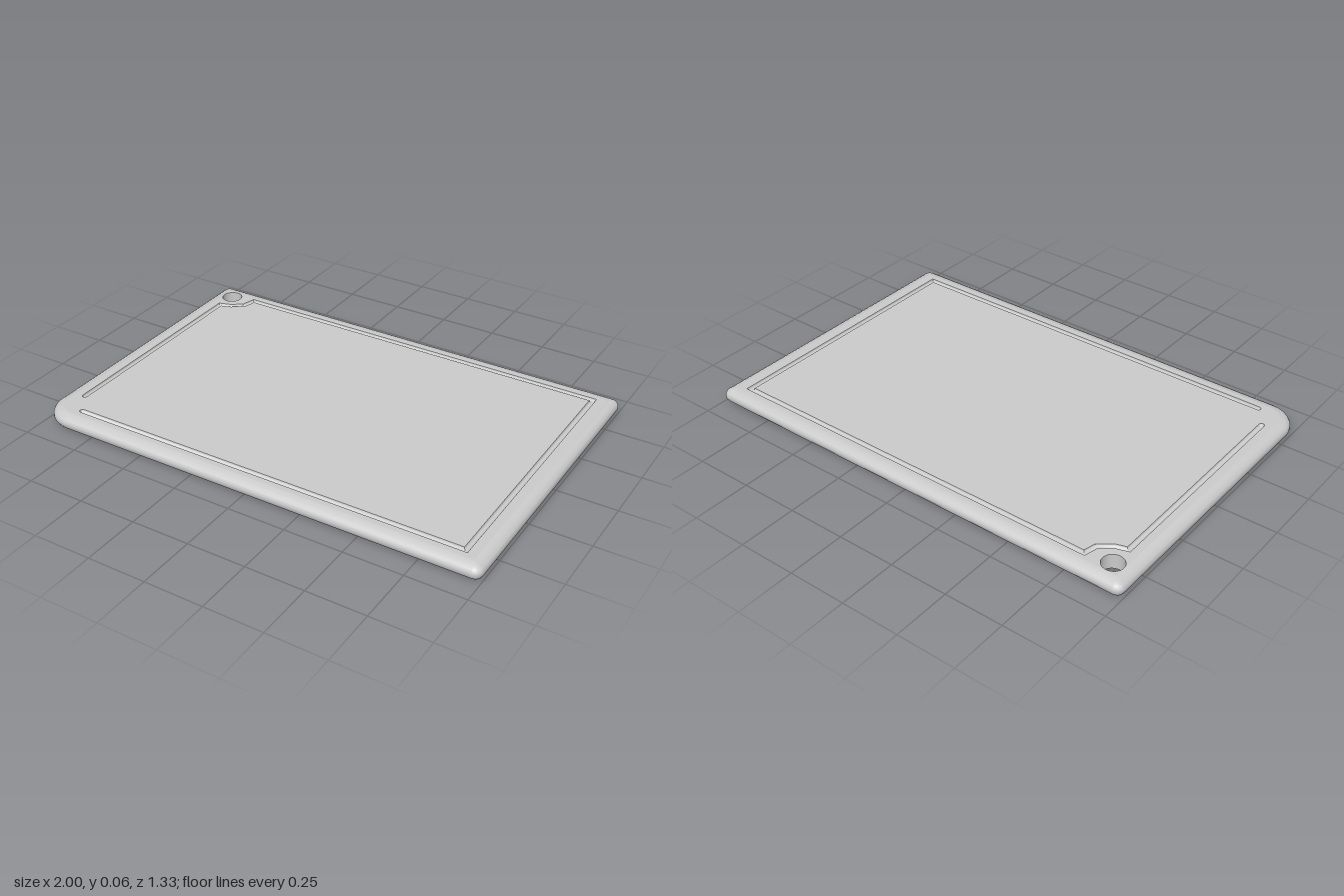
import * as THREE from 'three';
import { toCreasedNormals } from 'three/addons/utils/BufferGeometryUtils.js';

// Plan coordinates are 2D (x, y) with y pointing to the back (-z).
const HALF_X = 1, HALF_Z = 0.664, THICK = 0.065;
const HOLE = { x: -0.907, y: 0.57, r: 0.045 };
const GROOVE_R = 0.0115;

// Surface through rows of Vector3 points
function gridSurface(rows, crease = 0.6) {
  const n = rows[0].length, index = [];
  for (let i = 0; i < rows.length - 1; i++)
    for (let j = 0; j < n - 1; j++) {
      const a = i * n + j, c = a + n;
      index.push(a, a + 1, c, a + 1, c + 1, c);
    }
  const geo = new THREE.BufferGeometry().setFromPoints(rows.flat());
  geo.setIndex(index);
  return toCreasedNormals(geo, crease);
}

// Rounded outline, inset from the widest edge; the front left corner is rounder
function outline(inset) {
  const corners = [[1, 1, 0.035], [-1, 1, 0.035], [-1, -1, 0.13], [1, -1, 0.035]];
  const pts = [];
  corners.forEach(([sx, sy, radius], k) => {
    const r = Math.max(radius - inset, 0.004);
    for (let i = 0; i <= 8; i++) {
      const t = (k + i / 8) * Math.PI / 2;
      pts.push(new THREE.Vector2(
        sx * (HALF_X - inset - r) + r * Math.cos(t),
        sy * (HALF_Z - inset - r) + r * Math.sin(t)));
    }
  });
  return pts;
}

// Groove centre line, with tapering points that round off both ends
function grooveStations() {
  const path = [
    [-0.911, -0.486], [-0.911, 0.477], [-0.86, 0.493], [-0.81, 0.532],
    [-0.796, 0.588], [0.905, 0.588], [0.905, -0.583], [-0.842, -0.583],
  ].map(([x, y]) => new THREE.Vector2(x, y));
  const last = path.length - 1;
  const dirs = path.slice(1).map((p, i) => p.clone().sub(path[i]).normalize());
  const normal = d => new THREE.Vector2(-d.y, d.x);
  const stations = path.map((p, i) => {
    const n0 = normal(dirs[Math.max(i - 1, 0)]);
    const n1 = normal(dirs[Math.min(i, last - 1)]);
    const n = n0.clone().add(n1).normalize();
    return { p, n: n.divideScalar(n.dot(n0)), s: 1 };
  });
  for (let i = 1; i <= 4; i++) {
    const t = i / 4 * Math.PI / 2, s = Math.max(Math.cos(t), 0.02), along = Math.sin(t) * GROOVE_R;
    stations.unshift({ p: path[0].clone().addScaledVector(dirs[0], -along), n: normal(dirs[0]), s });
    stations.push({ p: path[last].clone().addScaledVector(dirs[last - 1], along), n: normal(dirs[last - 1]), s });
  }
  return stations;
}

export function createModel() {
  const group = new THREE.Group();
  const material = new THREE.MeshStandardMaterial({ color: 0xcccccc });
  const add = (name, geo, mat = material) => {
    const mesh = new THREE.Mesh(geo, mat);
    mesh.name = name;
    group.add(mesh);
    return mesh;
  };
  const holePath = () => new THREE.Path().absarc(HOLE.x, HOLE.y, HOLE.r, 0, Math.PI * 2, true);

  // Rounded rim: [inset, height] from underside to top
  const profile = [[0.045, 0], [0.022, 0.004], [0.007, 0.013], [0, 0.025],
    [0, 0.04], [0.007, 0.052], [0.022, 0.061], [0.045, THICK]];
  add('rim', gridSurface(profile.map(([inset, y]) => {
    const loop = outline(inset);
    return [...loop, loop[0]].map(p => new THREE.Vector3(p.x, y, -p.y));
  })));

  // Juice groove: half-round channel swept along the stations
  const stations = grooveStations();
  const side = k => stations.map(({ p, n, s }) => p.clone().addScaledVector(n, k * s * GROOVE_R));
  const rows = [];
  for (let i = 0; i <= 8; i++) {
    const t = i / 8 * Math.PI;
    rows.push(side(-Math.cos(t)).map((p, j) =>
      new THREE.Vector3(p.x, THICK - Math.sin(t) * GROOVE_R * stations[j].s, -p.y)));
  }
  add('juiceGroove', gridSurface(rows));

  // Top face, open over the groove and the hanging hole
  const top = new THREE.Shape(outline(0.045));
  top.holes.push(holePath(), new THREE.Path([...side(-1), ...side(1).reverse()]));
  add('topFace', new THREE.ShapeGeometry(top, 16).rotateX(-Math.PI / 2).translate(0, THICK, 0));

  // Underside, mirrored in plan so that it faces down
  const flip = pts => pts.map(p => new THREE.Vector2(p.x, -p.y));
  const under = new THREE.Shape(flip(outline(0.045)));
  under.holes.push(new THREE.Path(flip(holePath().getPoints(16))));
  add('underside', new THREE.ShapeGeometry(under).rotateX(Math.PI / 2));

  // Wall of the hanging hole, seen from inside
  const wallMaterial = new THREE.MeshStandardMaterial({ color: 0xcccccc, side: THREE.BackSide });
  const wall = add('hangingHole',
    new THREE.CylinderGeometry(HOLE.r, HOLE.r, THICK, 32, 1, true), wallMaterial);
  wall.position.set(HOLE.x, THICK / 2, -HOLE.y);

  return group;
}
